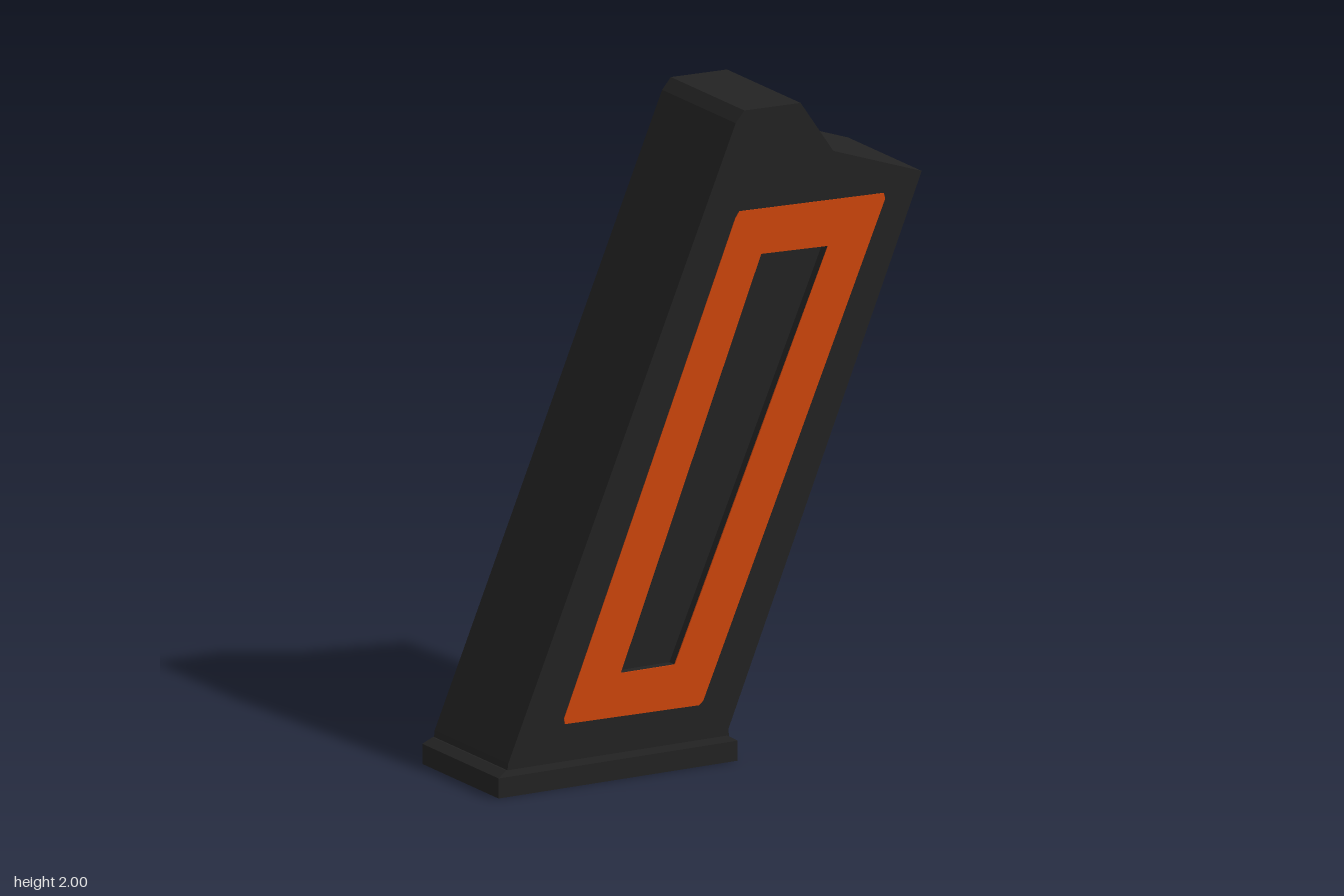
import * as THREE from 'three';

const BODY_HALF = 0.215; // half thickness of the body
const RECESS = 0.03; // depth of the slot on each side

const bodyOutline = [
  [-0.7, 0.075], [0.065, 0.075], [0.063, 0.1], [0.73, 1.727], [0.425, 1.832],
  [0.312, 1.996], [0.118, 2], [0.088, 1.965], [-0.697, 0.1],
];
const panelOutline = [
  [-0.502, 0.195], [-0.04, 0.188], [-0.025, 0.2], [0.603, 1.66],
  [0.598, 1.678], [0.1, 1.692], [0.086, 1.672], [-0.505, 0.212],
];
const slotOutline = [[-0.31, 0.325], [-0.123, 0.325], [0.405, 1.542], [0.175, 1.55]];

const points = (list) => list.map(([x, y]) => new THREE.Vector2(x, y));

// Plate between z0 and z1 with an optional opening
function plate(name, outline, hole, z0, z1, material) {
  const shape = new THREE.Shape(points(outline));
  if (hole) shape.holes.push(new THREE.Path(points(hole)));
  const geometry = new THREE.ExtrudeGeometry(shape, { depth: z1 - z0, bevelEnabled: false });
  geometry.translate(0, 0, z0);
  const mesh = new THREE.Mesh(geometry, material);
  mesh.name = name;
  return mesh;
}

export function createModel() {
  const black = new THREE.MeshStandardMaterial({ color: 0x232323 });
  black.name = 'matte black';
  const orange = new THREE.MeshStandardMaterial({ color: 0xcf460c });
  orange.name = 'orange';

  const group = new THREE.Group();
  group.name = 'slantedMagazine';

  // Slanted body with a slot, closed by a core set back from both sides
  group.add(plate('body', bodyOutline, slotOutline, -BODY_HALF, BODY_HALF, black));
  group.add(plate('slotFloor', slotOutline, null, -BODY_HALF + RECESS, BODY_HALF - RECESS, black));

  // Orange frame around the slot on the front and back
  for (const [name, side] of [['frontPanel', 1], ['backPanel', -1]]) {
    const z = side * BODY_HALF;
    group.add(plate(name, panelOutline, slotOutline, z - 0.002, z + 0.002, orange));
  }

  // Base plate with a chamfered top edge
  const base = new THREE.Mesh(new THREE.BoxGeometry(0.825, 0.062, 0.446), black);
  base.name = 'basePlate';
  base.position.set(-0.3225, 0.031, 0);
  group.add(base);

  const chamfer = new THREE.BoxGeometry(0.825, 0.018, 0.446);
  const p = chamfer.attributes.position;
  for (let i = 0; i < p.count; i++) {
    if (p.getY(i) > 0) {
      p.setX(i, p.getX(i) * 0.925);
      p.setZ(i, p.getZ(i) * 0.966);
    }
  }
  chamfer.computeVertexNormals();
  const lip = new THREE.Mesh(chamfer, black);
  lip.name = 'basePlateChamfer';
  lip.position.set(-0.3225, 0.071, 0);
  group.add(lip);

  return group;
}
